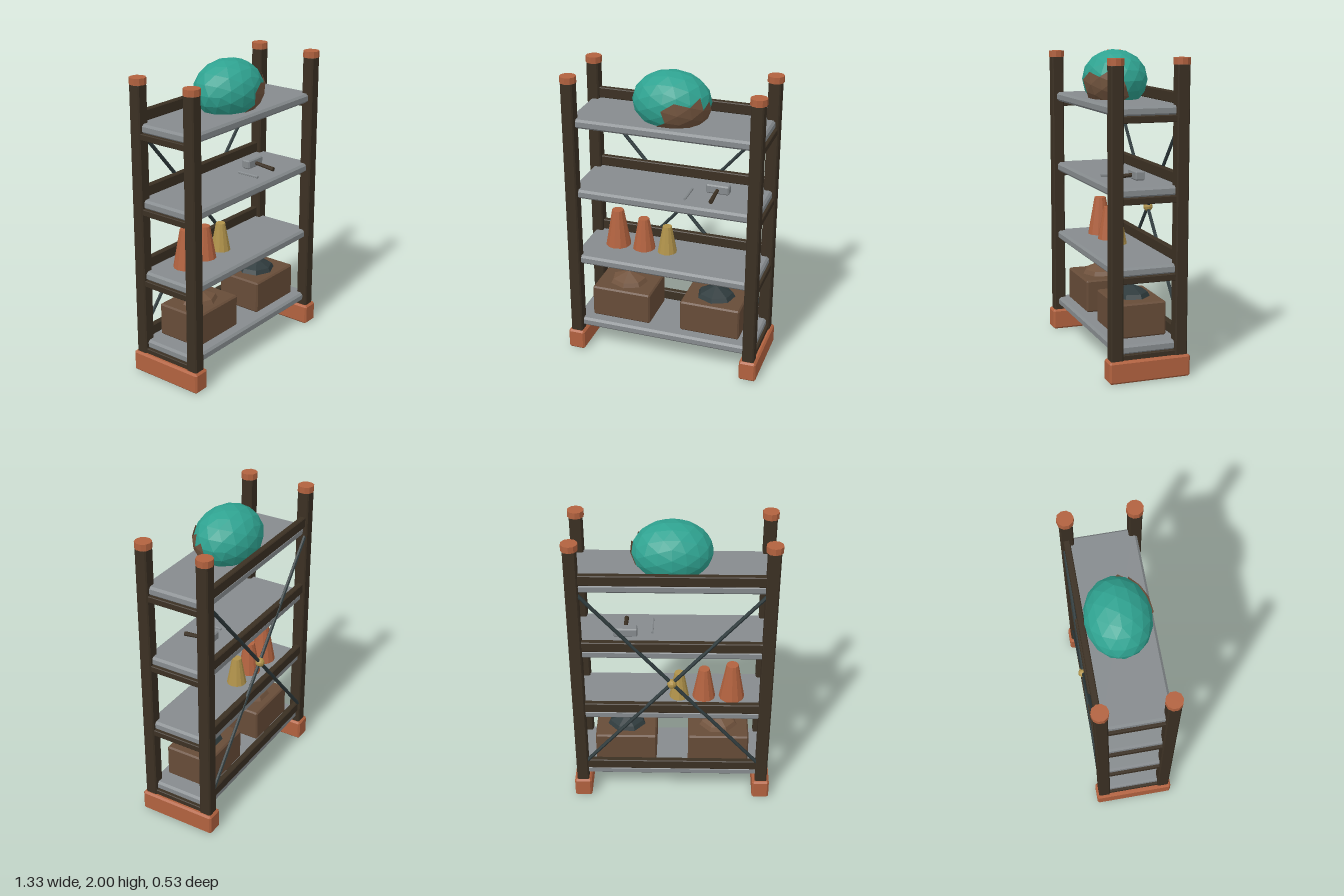
import * as THREE from 'three';
import { ConvexGeometry } from 'three/addons/geometries/ConvexGeometry.js';

const mat = (name, color) => {
  const m = new THREE.MeshStandardMaterial({ color });
  m.name = name;
  return m;
};

// Faceted normals for low-poly parts
const facet = (geo) => {
  const g = geo.index ? geo.toNonIndexed() : geo;
  g.computeVertexNormals();
  return g;
};

// Box with chamfered edges
function chamferBox(w, h, d, b) {
  const pts = [];
  for (const sx of [-1, 1]) for (const sy of [-1, 1]) for (const sz of [-1, 1]) {
    const x = w / 2, y = h / 2, z = d / 2;
    pts.push(
      new THREE.Vector3(sx * x, sy * (y - b), sz * (z - b)),
      new THREE.Vector3(sx * (x - b), sy * y, sz * (z - b)),
      new THREE.Vector3(sx * (x - b), sy * (y - b), sz * z));
  }
  return new ConvexGeometry(pts);
}

export function createModel() {
  const root = new THREE.Group();
  root.name = 'storageRack';

  const frame = mat('darkFrame', 0x3b3023);
  const steel = mat('greySteel', 0x868b8e);
  const orange = mat('rustOrange', 0xb2623f);
  const teal = mat('teal', 0x2fa391);
  const crate = mat('crateBrown', 0x674c38);
  const soil = mat('soilBrown', 0x72543e);
  const slate = mat('darkSlate', 0x2f3b3d);
  const brass = mat('brass', 0xb0924a);
  soil.side = THREE.DoubleSide;

  const add = (name, geo, material, x = 0, y = 0, z = 0, parent = root) => {
    const m = new THREE.Mesh(geo, material);
    m.name = name;
    m.position.set(x, y, z);
    parent.add(m);
    return m;
  };

  // Feet, posts and caps
  const footGeo = chamferBox(0.115, 0.14, 0.53, 0.012);
  const postGeo = chamferBox(0.08, 1.83, 0.08, 0.008);
  const capGeo = facet(new THREE.CylinderGeometry(0.053, 0.053, 0.042, 10));
  for (const sx of [-1, 1]) {
    add('foot', footGeo, orange, sx * 0.608, 0.07, 0);
    for (const sz of [-1, 1]) {
      add('post', postGeo, frame, sx * 0.608, 1.02, sz * 0.21);
      add('postCap', capGeo, orange, sx * 0.608, 1.95, sz * 0.21);
    }
  }

  // Shelves with back beams and side rails
  const shelfGeo = chamferBox(1.25, 0.06, 0.44, 0.014);
  const beamGeo = chamferBox(1.16, 0.07, 0.04, 0.005);
  const railGeo = chamferBox(0.05, 0.042, 0.36, 0.004);
  for (const top of [0.228, 0.714, 1.2, 1.688]) {
    add('shelf', shelfGeo, steel, 0, top - 0.03, 0);
    add('backBeam', beamGeo, frame, 0, top + 0.037, -0.215);
    for (const sx of [-1, 1]) add('sideRail', railGeo, frame, sx * 0.615, top - 0.077, 0);
  }

  // Crossed back braces with a centre boss
  const braceLength = Math.hypot(1.16, 1.34);
  for (const s of [-1, 1]) {
    const brace = add('crossBrace', facet(new THREE.CylinderGeometry(0.012, 0.012, braceLength, 6)),
      slate, 0, 0.96, -0.232);
    brace.rotation.z = s * Math.atan2(1.16, 1.34);
  }
  add('braceBoss', facet(new THREE.SphereGeometry(0.031, 10, 8)), brass, 0, 0.96, -0.235);

  // Crates with heaps of material
  const crateGeo = chamferBox(0.41, 0.22, 0.32, 0.01);
  const heapProfile = [[0.135, 0], [0.115, 0.035], [0, 0.085]].map(p => new THREE.Vector2(...p));
  for (const [x, heapMat] of [[-0.312, soil], [0.312, slate]]) {
    add('crate', crateGeo, crate, x, 0.345, 0);
    const heap = add('heap', facet(new THREE.LatheGeometry(heapProfile, 7)), heapMat, x, 0.448, 0);
    heap.scale.z = 0.9;
  }

  // Row of cones
  for (const [x, base, top, height, m] of [
    [-0.395, 0.086, 0.04, 0.258, orange],
    [-0.21, 0.077, 0.036, 0.222, orange],
    [-0.045, 0.066, 0.031, 0.19, brass],
  ]) {
    add('cone', facet(new THREE.CylinderGeometry(top, base, height, 12)), m, x, 0.712 + height / 2, -0.033);
  }

  // Hammer and loose pin
  const hammer = new THREE.Group();
  hammer.name = 'hammer';
  root.add(hammer);
  add('hammerHead', chamferBox(0.155, 0.06, 0.06, 0.008), steel, 0.303, 1.232, -0.035, hammer);
  const handle = add('hammerHandle', facet(new THREE.CylinderGeometry(0.012, 0.015, 0.15, 8)),
    frame, 0.303, 1.223, 0.065, hammer);
  handle.rotation.x = -Math.PI / 2 - 0.1 + Math.PI;
  handle.rotation.x = -Math.PI / 2 + 0.1;
  const pin = add('pin', facet(new THREE.CylinderGeometry(0.009, 0.009, 0.16, 6)), steel, 0.13, 1.209, 0.06);
  pin.rotation.x = Math.PI / 2;

  // Large teal boulder
  const boulder = new THREE.Group();
  boulder.name = 'boulder';
  boulder.position.set(0, 1.81, 0);
  root.add(boulder);
  const size = [0.255, 0.192, 0.205];
  const body = new THREE.IcosahedronGeometry(1, 2).scale(...size);
  add('boulderBody', facet(body), teal, 0, 0, 0, boulder);

  // Ragged earthy crust: the facets of a slightly larger shell near one direction
  const shell = new THREE.IcosahedronGeometry(1, 2).rotateY(0.35).rotateZ(0.2);
  const pos = shell.attributes.position;
  const centre = new THREE.Vector3(0.58, -0.45, 0.68).normalize();
  const kept = [];
  for (let i = 0; i < pos.count; i += 3) {
    const tri = [0, 1, 2].map(k => new THREE.Vector3().fromBufferAttribute(pos, i + k));
    const mid = tri[0].clone().add(tri[1]).add(tri[2]).normalize();
    if (mid.dot(centre) > 0.72) for (const v of tri) kept.push(v.x, v.y, v.z);
  }
  const crust = new THREE.BufferGeometry();
  crust.setAttribute('position', new THREE.Float32BufferAttribute(kept, 3));
  crust.scale(...size.map(s => s * 1.04));
  add('boulderCrust', facet(crust), soil, 0, 0, 0, boulder);

  return root;
}
